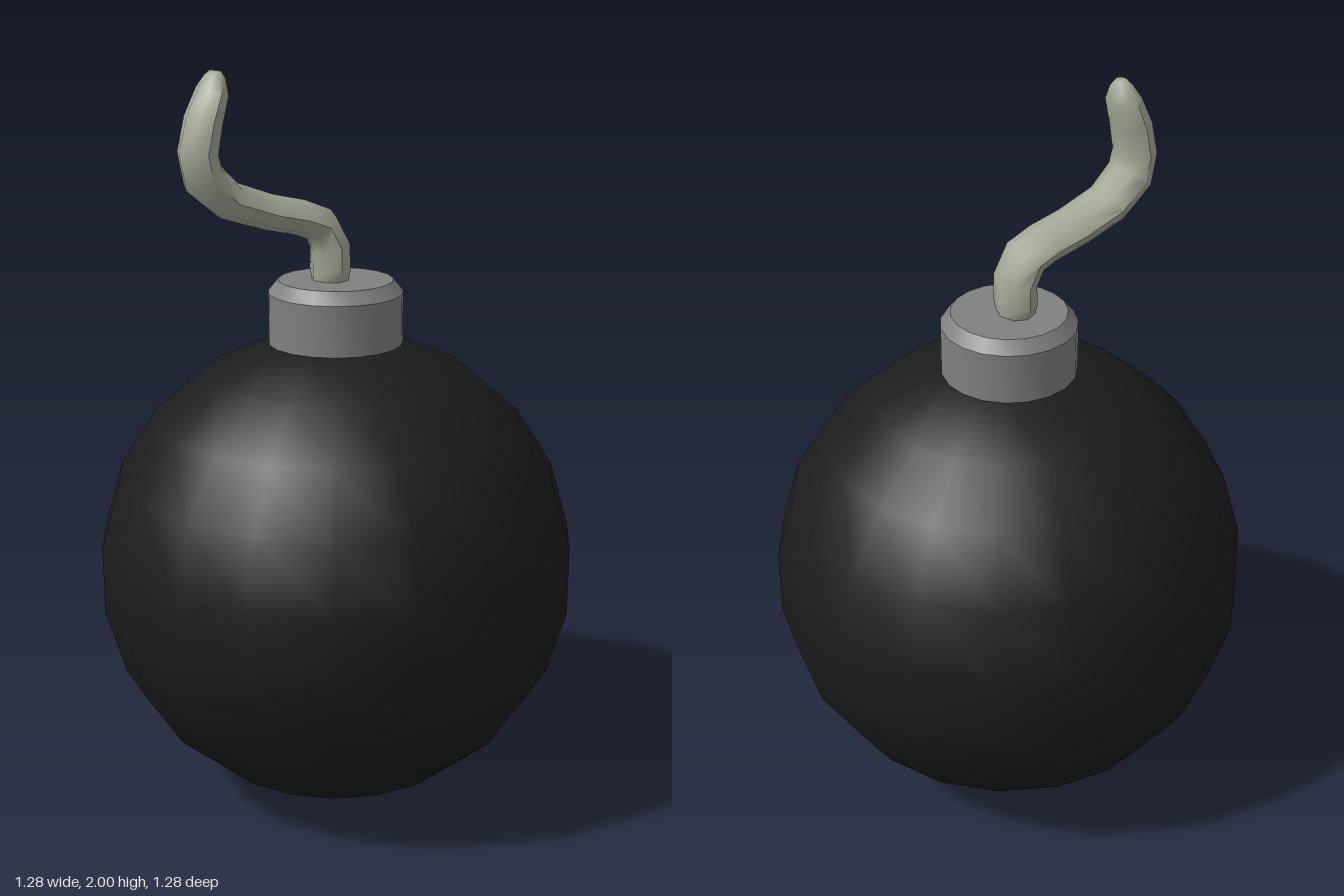
import * as THREE from 'three';
import { toCreasedNormals } from 'three/addons/utils/BufferGeometryUtils.js';

const material = (color) => new THREE.MeshStandardMaterial({ color });

function addPart(group, name, geometry, color) {
  const mesh = new THREE.Mesh(geometry, material(color));
  mesh.name = name;
  group.add(mesh);
}

// Sweeps an eight-sided oval along a path in the xy plane and closes both ends.
// Each station is [x, y, half width in the plane, half depth in z].
function sweep(stations, sides = 8) {
  const positions = [];
  const index = [];
  const last = stations.length - 1;
  stations.forEach(([x, y, width, depth], i) => {
    const a = stations[Math.max(i - 1, 0)];
    const b = stations[Math.min(i + 1, last)];
    const tangent = new THREE.Vector2(b[0] - a[0], b[1] - a[1]).normalize();
    for (let j = 0; j < sides; j++) {
      const angle = (j / sides) * Math.PI * 2;
      const offset = Math.cos(angle) * width;
      positions.push(x + tangent.y * offset, y - tangent.x * offset, Math.sin(angle) * depth);
    }
  });
  const bottom = positions.length / 3;
  positions.push(stations[0][0], stations[0][1], 0, stations[last][0], stations[last][1], 0);
  for (let j = 0; j < sides; j++) {
    const k = (j + 1) % sides;
    for (let i = 0; i < last; i++) {
      const p = i * sides;
      const q = p + sides;
      index.push(p + j, q + j, p + k, q + j, q + k, p + k);
    }
    index.push(bottom, j, k, bottom + 1, last * sides + k, last * sides + j);
  }
  const geometry = new THREE.BufferGeometry();
  geometry.setAttribute('position', new THREE.Float32BufferAttribute(positions, 3));
  geometry.setIndex(index);
  geometry.computeVertexNormals();
  return geometry;
}

export function createModel() {
  const group = new THREE.Group();
  group.name = 'roundBomb';

  // Faceted ball with smooth shading, one meridian on the back centre line
  const ball = new THREE.SphereGeometry(0.65, 19, 11, -Math.PI / 2);
  ball.translate(0, 0.652, 0.003);
  addPart(group, 'body', ball, 0x1c1c1c);

  // Neck with a bevelled rim and flat top
  const profile = [[0, 1.26], [0.18, 1.26], [0.18, 1.412], [0.153, 1.445], [0, 1.445]]
    .map(([r, y]) => new THREE.Vector2(r, y));
  const neck = toCreasedNormals(new THREE.LatheGeometry(profile, 19, Math.PI), 0.6);
  addPart(group, 'neck', neck, 0x808080);

  // Bent fuse with a tapered tip
  const fuse = sweep([
    [-0.012, 1.44, 0.047, 0.055],
    [-0.012, 1.47, 0.05, 0.068],
    [-0.012, 1.535, 0.05, 0.068],
    [-0.043, 1.593, 0.05, 0.068],
    [-0.1, 1.616, 0.047, 0.068],
    [-0.19, 1.637, 0.047, 0.068],
    [-0.3, 1.675, 0.05, 0.068],
    [-0.37, 1.738, 0.055, 0.068],
    [-0.383, 1.8, 0.05, 0.068],
    [-0.366, 1.88, 0.046, 0.068],
    [-0.34, 1.95, 0.038, 0.06],
    [-0.332, 1.985, 0.026, 0.035],
    [-0.33, 2.0, 0.014, 0.018],
  ]);
  fuse.translate(0, 0, -0.01);
  addPart(group, 'fuse', toCreasedNormals(fuse, 1), 0xa5a798);

  return group;
}
